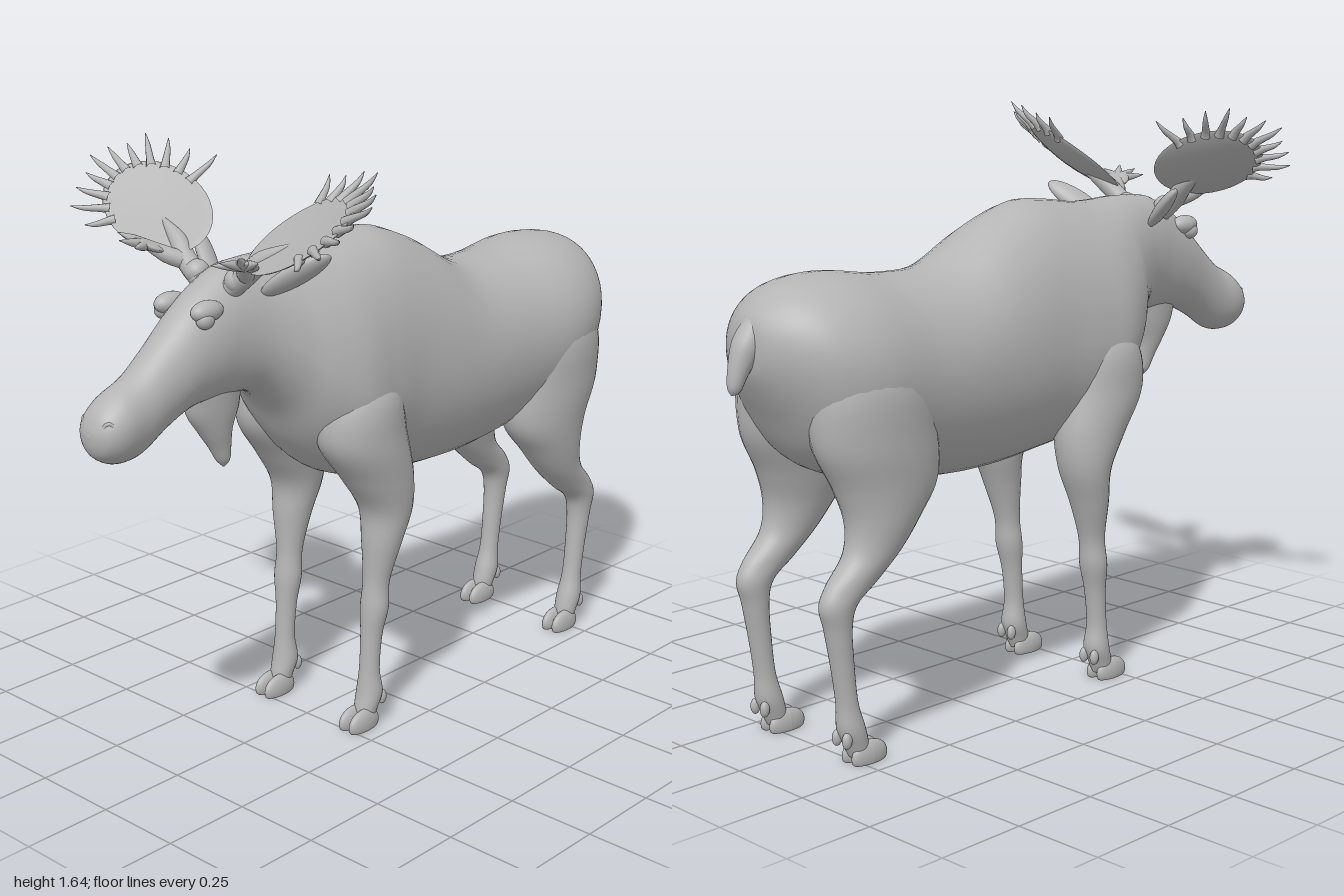
import * as THREE from 'three';

const coat = new THREE.MeshStandardMaterial({ color: 0xb4b4b4 });
coat.name = 'grey coat';
const V = (x, y, z) => new THREE.Vector3(x, y, z);

// Smooth interpolation of rows of numbers
function spline(keys, t) {
  const f = t * (keys.length - 1), i = Math.min(Math.floor(f), keys.length - 2), u = f - i;
  const k = (n) => keys[Math.max(0, Math.min(keys.length - 1, n))];
  return keys[i].map((b, c) => {
    const a = k(i - 1)[c], d = k(i + 1)[c], e = k(i + 2)[c];
    return b + 0.5 * u * (d - a + u * (2 * a - 5 * b + 4 * d - e + u * (3 * (b - d) + e - a)));
  });
}

// Skin stretched over rings; point(row, cos, sin) places each ring vertex
function loft(keys, point, steps = 6, sides = 28) {
  const pos = [], idx = [], rows = (keys.length - 1) * steps;
  for (let i = 0; i <= rows; i++) {
    const row = spline(keys, i / rows);
    for (let j = 0; j < sides; j++) {
      const a = (j / sides) * Math.PI * 2;
      pos.push(...point(row, Math.cos(a), Math.sin(a)));
      if (i === rows) continue;
      const p = i * sides + j, q = i * sides + ((j + 1) % sides);
      idx.push(p, q, p + sides, q, q + sides, p + sides);
    }
  }
  const g = new THREE.BufferGeometry();
  g.setAttribute('position', new THREE.Float32BufferAttribute(pos, 3));
  g.setIndex(idx);
  g.computeVertexNormals();
  return g;
}

// Upright limb: rows of [x, y, z, half width, half depth], listed downward
const limb = (keys) => loft(keys, ([x, y, z, rx, rz], c, s) => [x + rx * c, y, z + rz * s]);

// Tapered horn along points with a radius at each
function horn(points, radii, sides = 10) {
  const d = points[points.length - 1].clone().sub(points[0]).normalize();
  const e1 = V(0.2, 0.3, 1).cross(d).normalize(), e2 = d.clone().cross(e1);
  const keys = points.map((p, i) => [p.x, p.y, p.z, radii[i]]);
  return loft(keys, ([x, y, z, r], c, s) =>
    V(x, y, z).addScaledVector(e1, r * c).addScaledVector(e2, r * s).toArray(), 4, sides);
}

// Ellipsoid aligned to axes u and v, with a slight cup along its thin side
function blob(center, u, v, size, cup = 0) {
  const g = new THREE.SphereGeometry(1, 28, 18);
  const p = g.attributes.position;
  for (let i = 0; i < p.count; i++) {
    const x = p.getX(i), y = p.getY(i);
    p.setXYZ(i, x * size[0], y * size[1], p.getZ(i) * size[2] + cup * (x * x + y * y - 0.5));
  }
  g.computeVertexNormals();
  const n = u.clone().cross(v).normalize();
  return g.applyMatrix4(new THREE.Matrix4().makeBasis(u, n.clone().cross(u), n).setPosition(center));
}

export function createModel() {
  const model = new THREE.Group();
  model.name = 'moose';
  const add = (parent, name, geo) => {
    const m = new THREE.Mesh(geo, coat);
    m.name = name;
    parent.add(m);
    return m;
  };
  const group = (name) => {
    const g = new THREE.Group();
    g.name = name;
    model.add(g);
    return g;
  };
  const X = V(1, 0, 0), Y = V(0, 1, 0);

  // Trunk, neck and head: [z, top, widest height, bottom, half width]
  add(model, 'bodyAndHead', loft([
    [-0.95, 1.1, 1.08, 1.06, 0.005], [-0.935, 1.16, 1.08, 1.0, 0.08], [-0.88, 1.215, 1.06, 0.9, 0.165],
    [-0.8, 1.245, 1.03, 0.78, 0.228], [-0.68, 1.253, 1.0, 0.72, 0.26], [-0.5, 1.233, 0.97, 0.69, 0.248],
    [-0.32, 1.245, 0.97, 0.665, 0.242], [-0.15, 1.335, 0.98, 0.665, 0.235], [0, 1.39, 1.0, 0.68, 0.23],
    [0.12, 1.388, 1.0, 0.7, 0.24], [0.23, 1.375, 1.01, 0.745, 0.245], [0.32, 1.375, 1.06, 0.84, 0.212],
    [0.39, 1.38, 1.13, 0.95, 0.165], [0.47, 1.38, 1.18, 1.02, 0.125], [0.55, 1.373, 1.2, 1.03, 0.105],
    [0.63, 1.335, 1.18, 1.03, 0.096], [0.7, 1.285, 1.15, 1.02, 0.088], [0.78, 1.215, 1.1, 0.985, 0.078],
    [0.86, 1.15, 1.05, 0.94, 0.075], [0.93, 1.115, 1.03, 0.935, 0.077], [0.975, 1.08, 1.02, 0.955, 0.06],
    [0.995, 1.045, 1.02, 0.985, 0.03], [1.0, 1.02, 1.02, 1.02, 0.002],
  ], ([z, top, mid, bot, w], c, s) => [w * c, mid + (s > 0 ? top - mid : mid - bot) * s, z], 6, 44));

  // Throat flap and tail
  add(model, 'throatFlap', limb([
    [0, 1.08, 0.59, 0.045, 0.1], [0, 1.0, 0.587, 0.042, 0.088], [0, 0.94, 0.58, 0.035, 0.055],
    [0, 0.89, 0.565, 0.026, 0.034], [0, 0.85, 0.555, 0.018, 0.02], [0, 0.83, 0.553, 0.002, 0.002],
  ]));
  add(model, 'tail', horn([V(0, 1.15, -0.89), V(0, 1.09, -0.94), V(0, 1.03, -0.97), V(0, 0.985, -0.985), V(0, 0.97, -0.992)],
    [0.04, 0.04, 0.028, 0.018, 0.001], 16));

  for (const s of [1, -1]) {
    const side = s > 0 ? 'left' : 'right';

    // Legs
    const legs = {
      FrontLeg: { hoofZ: 0.212, keys: [
        [0.12, 1.1, 0.18, 0.03, 0.04], [0.15, 0.99, 0.19, 0.1, 0.115], [0.155, 0.86, 0.185, 0.11, 0.14],
        [0.165, 0.74, 0.135, 0.095, 0.11], [0.172, 0.64, 0.108, 0.078, 0.074], [0.174, 0.54, 0.125, 0.058, 0.055],
        [0.17, 0.43, 0.142, 0.039, 0.037], [0.17, 0.35, 0.15, 0.042, 0.038], [0.168, 0.27, 0.16, 0.032, 0.03],
        [0.168, 0.17, 0.168, 0.03, 0.028], [0.168, 0.1, 0.168, 0.038, 0.037], [0.168, 0.055, 0.182, 0.034, 0.034],
        [0.168, 0.02, 0.19, 0.028, 0.028]] },
      HindLeg: { hoofZ: -0.725, keys: [
        [0.11, 1.13, -0.68, 0.05, 0.06], [0.135, 1.0, -0.67, 0.12, 0.17], [0.145, 0.84, -0.655, 0.118, 0.19],
        [0.155, 0.72, -0.63, 0.1, 0.16], [0.165, 0.63, -0.65, 0.08, 0.112], [0.168, 0.55, -0.69, 0.062, 0.085],
        [0.168, 0.48, -0.76, 0.048, 0.078], [0.168, 0.43, -0.805, 0.042, 0.055], [0.168, 0.37, -0.807, 0.036, 0.038],
        [0.168, 0.27, -0.795, 0.031, 0.031], [0.168, 0.17, -0.782, 0.03, 0.029], [0.168, 0.1, -0.77, 0.037, 0.038],
        [0.168, 0.055, -0.755, 0.034, 0.034], [0.168, 0.02, -0.745, 0.028, 0.028]] },
    };
    for (const [name, { hoofZ, keys }] of Object.entries(legs)) {
      const leg = group(side + name);
      add(leg, 'leg', limb(keys.map(([x, ...rest]) => [x * s, ...rest])));
      for (const t of [-1, 1]) {
        // Cloven hoof, flat underneath, with a dewclaw behind
        const toe = blob(V(s * 0.168 + t * 0.019, 0.018, hoofZ), X, Y, [0.021, 0.042, 0.058]);
        const p = toe.attributes.position;
        for (let i = 0; i < p.count; i++) p.setY(i, Math.max(0, p.getY(i)));
        toe.computeVertexNormals();
        add(leg, 'toe', toe);
        add(leg, 'dewclaw', blob(V(s * 0.168 + t * 0.02, 0.075, hoofZ - 0.075), X, Y, [0.012, 0.022, 0.014]));
      }
    }

    // Face
    add(model, side + 'Eye', blob(V(s * 0.078, 1.265, 0.675), X, Y, [0.022, 0.024, 0.026]));
    add(model, side + 'Brow', blob(V(s * 0.068, 1.283, 0.66), X, Y, [0.03, 0.028, 0.05]));
    const nostril = add(model, side + 'Nostril', new THREE.TorusGeometry(0.012, 0.005, 10, 20));
    nostril.position.set(s * 0.047, 1.045, 0.972);
    nostril.rotation.y = s * 0.8;

    // Ear
    const earAxis = V(s * 0.16, 0.11, -0.085).normalize();
    const earWide = V(0, 0.6, 0.8).addScaledVector(earAxis, -V(0, 0.6, 0.8).dot(earAxis)).normalize();
    add(model, side + 'Ear', blob(V(s * 0.165, 1.352, 0.442), earAxis, earWide, [0.108, 0.036, 0.02]));

    // Antler: burr, beam, cupped palm with a fan of tines
    const antler = group(side + 'Antler');
    const P = (x, y, z) => V(s * x, y, z);
    add(antler, 'burr', blob(P(0.075, 1.345, 0.56), X, Y, [0.034, 0.032, 0.034]));
    add(antler, 'beam', horn([P(0.05, 1.32, 0.56), P(0.11, 1.365, 0.56), P(0.16, 1.41, 0.545), P(0.24, 1.455, 0.525)],
      [0.03, 0.028, 0.025, 0.006], 16));
    const center = P(0.265, 1.475, 0.518);
    const u = P(0.34, 0.15, -0.02).normalize();
    const v = V(0, 0.6, -0.8).addScaledVector(u, -V(0, 0.6, -0.8).dot(u)).normalize();
    const n = u.clone().cross(v).multiplyScalar(s);
    add(antler, 'palm', blob(center, u, v, [0.185, 0.125, 0.011], s * 0.018));
    const onPalm = (angle, k, lift) => center.clone().addScaledVector(u, 0.185 * Math.cos(angle) * k)
      .addScaledVector(v, 0.125 * Math.sin(angle) * k).addScaledVector(n, lift);
    for (let i = 0; i < 11; i++) {
      const a = -1.25 + i * 0.28;
      const reach = 0.06 + 0.025 * ((i * 2) % 3) / 2;
      const root = onPalm(a, 0.88, 0.006), edge = onPalm(a, 1.02, 0.01);
      const out = edge.clone().sub(center).normalize();
      add(antler, 'tine', horn([root, edge, edge.clone().addScaledVector(out, reach * 0.6),
        edge.clone().addScaledVector(out, reach).addScaledVector(n, 0.008)], [0.015, 0.011, 0.007, 0.001]));
    }

    // Small forward palm with its points
    const fork = P(0.178, 1.41, 0.632);
    add(antler, 'browBeam', horn([P(0.11, 1.365, 0.56), P(0.145, 1.385, 0.6), fork], [0.024, 0.022, 0.014], 14));
    const fu = P(0.06, 0.035, 0.06).normalize();
    const fv = P(-0.7, 0.1, 0.6).addScaledVector(fu, -P(-0.7, 0.1, 0.6).dot(fu)).normalize();
    add(antler, 'browPalm', blob(fork, fu, fv, [0.05, 0.036, 0.012]));
    for (const [x, y, z] of [[0.14, 1.42, 0.71], [0.185, 1.435, 0.722], [0.222, 1.447, 0.695], [0.255, 1.435, 0.66]]) {
      const tip = P(x, y, z);
      add(antler, 'browTine', horn([fork, fork.clone().lerp(tip, 0.5), tip], [0.014, 0.011, 0.001]));
    }
  }
  return model;
}
